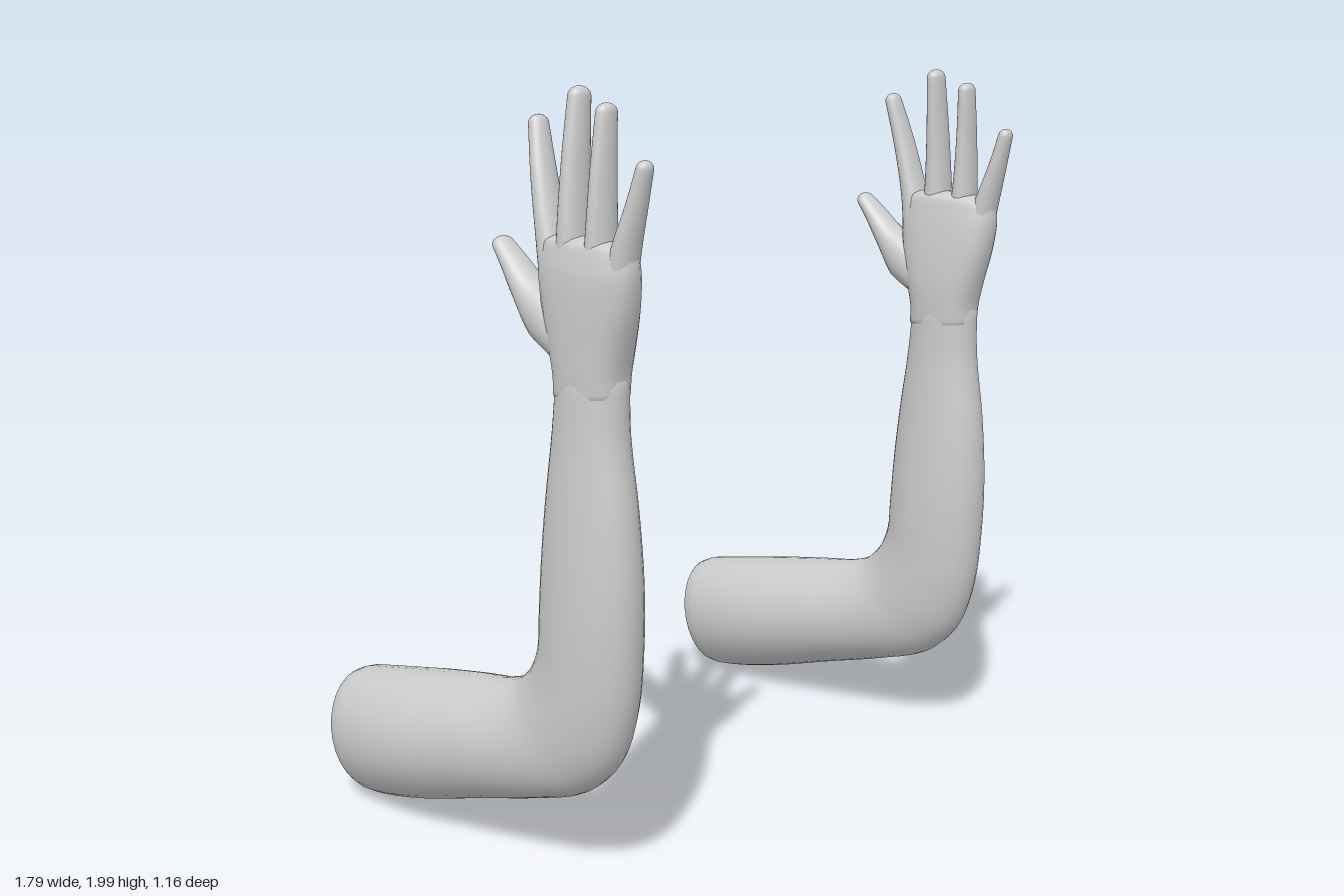
import * as THREE from 'three';

const SIDES = 32;

// Smooth loft through oval sections [outerZ, outerY, innerZ, innerY, centreX, halfX],
// closed at both ends by domes of the given depths.
function loft(sections, side, startDepth, endDepth, steps = 4, square = 1) {
  const curve = (i) => new THREE.CatmullRomCurve3(
    sections.map((s) => new THREE.Vector3(...s.slice(i, i + 3))), false, 'centripetal');
  const count = (sections.length - 1) * steps;
  const first = curve(0), second = curve(3);
  const rings = [];
  for (let i = 0; i <= count; i++) {
    const a = first.getPoint(i / count), b = second.getPoint(i / count);
    rings.push({
      c: new THREE.Vector3(b.y, (a.y + b.x) / 2, (a.x + a.z) / 2),
      h: new THREE.Vector3(0, (a.y - b.x) / 2, (a.x - a.z) / 2),
      w: b.z,
    });
  }
  // rounded ends
  const dome = (end, before, depth) => {
    const dir = new THREE.Vector3(0, -end.h.z, end.h.y).normalize();
    if (dir.dot(end.c.clone().sub(before.c)) < 0) dir.negate();
    return [0.25, 0.5, 0.7, 0.85, 0.95, 1].map((t) => {
      const k = Math.max(Math.cos(t * Math.PI / 2), 0.001);
      return {
        c: end.c.clone().addScaledVector(dir, depth * Math.sin(t * Math.PI / 2)),
        h: end.h.clone().multiplyScalar(k), w: end.w * k,
      };
    });
  };
  const all = [
    ...dome(rings[0], rings[1], startDepth).reverse(), ...rings,
    ...dome(rings[count], rings[count - 1], endDepth),
  ];

  const pos = [], index = [];
  const soft = (v) => Math.sign(v) * Math.abs(v) ** square;
  all.forEach(({ c, h, w }, r) => {
    for (let j = 0; j < SIDES; j++) {
      const t = (j / SIDES) * Math.PI * 2;
      const p = c.clone().addScaledVector(h, soft(Math.cos(t)));
      pos.push(side * (p.x + w * soft(Math.sin(t))), p.y, p.z);
      if (r === 0) continue;
      const k = (j + 1) % SIDES, lo = (r - 1) * SIDES, hi = r * SIDES;
      index.push(lo + j, hi + j, lo + k, lo + k, hi + j, hi + k);
    }
  });
  // keep faces pointing outwards on both mirrored sides
  let volume = 0;
  const at = (i) => new THREE.Vector3().fromArray(pos, index[i] * 3);
  for (let i = 0; i < index.length; i += 3) volume += at(i).dot(at(i + 1).cross(at(i + 2)));
  if (volume < 0) index.reverse();

  const geo = new THREE.BufferGeometry();
  geo.setAttribute('position', new THREE.Float32BufferAttribute(pos, 3));
  geo.setIndex(index);
  geo.computeVertexNormals();
  return geo;
}

// Finger sections from a centre path of [z, y, x, radius, halfX].
function digit(path, side) {
  const sections = path.map(([z, y, x, r, w], i) => {
    const p = path[Math.max(i - 1, 0)], n = path[Math.min(i + 1, path.length - 1)];
    const dz = n[0] - p[0], dy = n[1] - p[1], len = Math.hypot(dz, dy);
    const oz = (dy / len) * r, oy = (-dz / len) * r;
    return [z + oz, y + oy, z - oz, y - oy, x, w];
  });
  const tip = path[path.length - 1][3];
  return loft(sections, side, 0.01, tip, 5);
}

const ARM = [
  [-0.485, 0.012, -0.568, 0.345, 0.72, 0.135],
  [-0.45, 0.012, -0.53, 0.362, 0.72, 0.148],
  [-0.35, 0.03, -0.42, 0.385, 0.72, 0.165],
  [-0.2, 0.068, -0.25, 0.42, 0.72, 0.173],
  [0, 0.13, -0.08, 0.452, 0.72, 0.157],
  [0.2, 0.19, 0.05, 0.475, 0.72, 0.133],
  [0.36, 0.25, 0.135, 0.505, 0.718, 0.115],
  [0.46, 0.345, 0.19, 0.56, 0.717, 0.109],
  [0.51, 0.48, 0.22, 0.63, 0.717, 0.106],
  [0.53, 0.66, 0.226, 0.71, 0.717, 0.105],
  [0.533, 0.82, 0.235, 0.85, 0.717, 0.1],
  [0.52, 1.0, 0.25, 1.0, 0.717, 0.09],
  [0.495, 1.18, 0.275, 1.18, 0.716, 0.079],
  [0.49, 1.32, 0.288, 1.31, 0.714, 0.076],
];

const PALM = [
  [0.487, 1.28, 0.284, 1.27, 0.714, 0.074],
  [0.49, 1.33, 0.285, 1.32, 0.714, 0.077],
  [0.507, 1.4, 0.265, 1.4, 0.714, 0.078],
  [0.532, 1.49, 0.245, 1.49, 0.718, 0.074],
  [0.545, 1.57, 0.235, 1.57, 0.722, 0.066],
  [0.543, 1.625, 0.237, 1.635, 0.722, 0.053],
];

const DIGITS = {
  littleFinger: [
    [0.49, 1.54, 0.722, 0.04, 0.045], [0.518, 1.64, 0.724, 0.031, 0.04],
    [0.55, 1.74, 0.722, 0.023, 0.03], [0.573, 1.822, 0.72, 0.019, 0.023],
  ],
  ringFinger: [
    [0.43, 1.54, 0.724, 0.04, 0.05], [0.437, 1.65, 0.726, 0.031, 0.046],
    [0.441, 1.8, 0.722, 0.024, 0.039], [0.443, 1.943, 0.712, 0.021, 0.03],
  ],
  middleFinger: [
    [0.345, 1.54, 0.724, 0.042, 0.052], [0.345, 1.65, 0.726, 0.035, 0.048],
    [0.344, 1.82, 0.717, 0.027, 0.041], [0.343, 1.976, 0.702, 0.023, 0.032],
  ],
  indexFinger: [
    [0.285, 1.54, 0.72, 0.045, 0.05], [0.262, 1.65, 0.72, 0.033, 0.045],
    [0.228, 1.79, 0.712, 0.026, 0.037], [0.197, 1.907, 0.698, 0.021, 0.028],
  ],
  thumb: [
    [0.33, 1.385, 0.716, 0.055, 0.06], [0.247, 1.445, 0.718, 0.066, 0.06],
    [0.178, 1.51, 0.72, 0.041, 0.05], [0.125, 1.57, 0.72, 0.028, 0.04],
    [0.086, 1.61, 0.72, 0.021, 0.032],
  ],
};

export function createModel() {
  const model = new THREE.Group();
  model.name = 'armPair';
  const skin = new THREE.MeshStandardMaterial({ color: 0xcccccc });
  for (const [name, side] of [['leftArm', 1], ['rightArm', -1]]) {
    const arm = new THREE.Group();
    arm.name = name;
    const add = (part, geo) => {
      const mesh = new THREE.Mesh(geo, skin);
      mesh.name = part;
      arm.add(mesh);
    };
    add('upperArmAndForearm', loft(ARM, side, 0.022, 0.01));
    add('palm', loft(PALM, side, 0.01, 0.025, 4, 0.85));
    for (const [part, path] of Object.entries(DIGITS)) add(part, digit(path, side));
    model.add(arm);
  }
  return model;
}
